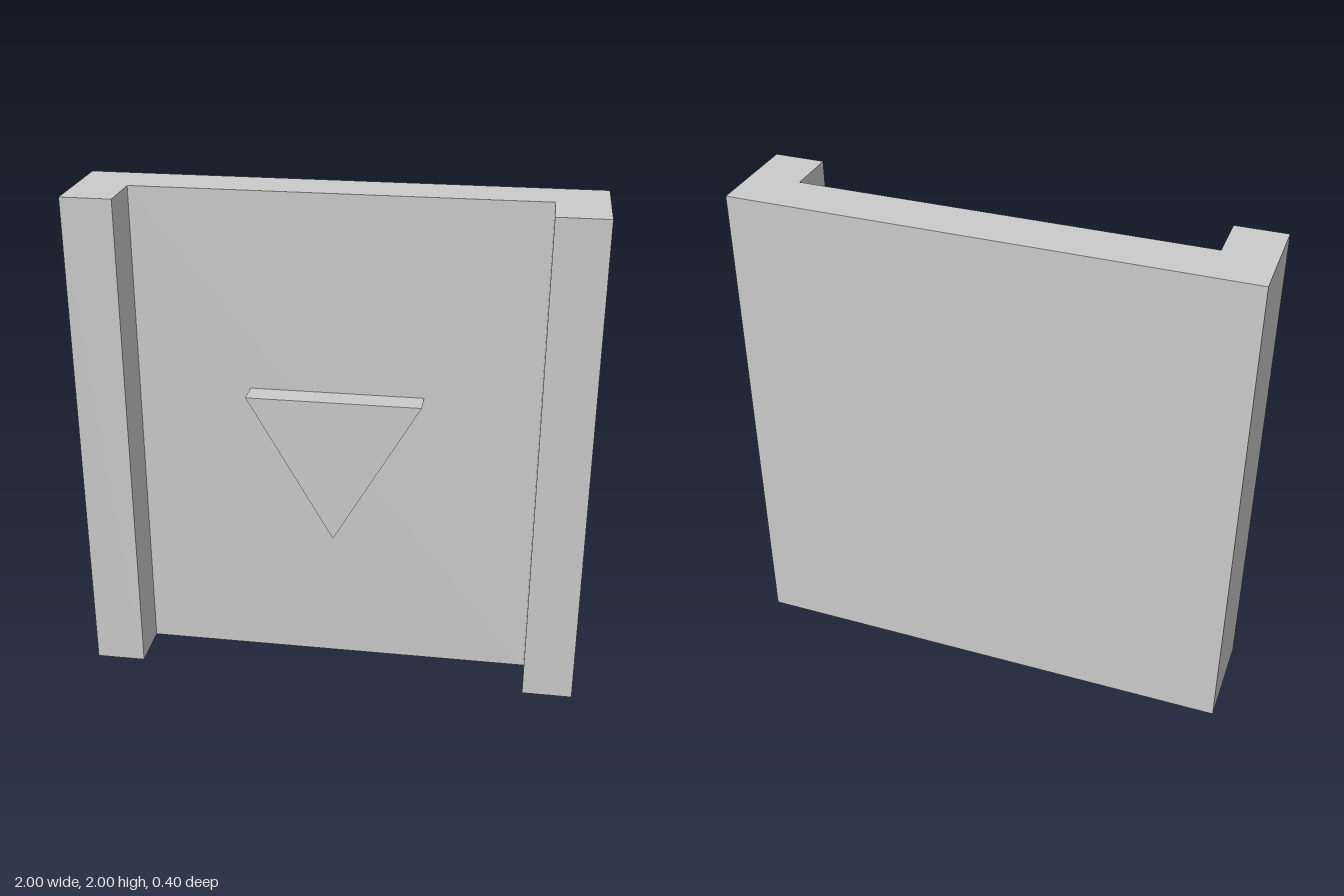
import * as THREE from 'three';

const material = new THREE.MeshStandardMaterial({ color: 0xcccccc, flatShading: true });

// Extrudes a closed outline of [x, y] corners along +z
function prism(name, corners, depth) {
  const shape = new THREE.Shape(corners.map(([x, y]) => new THREE.Vector2(x, y)));
  const geometry = new THREE.ExtrudeGeometry(shape, { depth, bevelEnabled: false });
  const mesh = new THREE.Mesh(geometry, material);
  mesh.name = name;
  return mesh;
}

export function createModel() {
  const group = new THREE.Group();
  group.name = 'channelPanel';

  // Back panel with its two side rails: a U-shaped plan (shape y is -z) raised to full height
  const panel = prism('panelWithSideRails', [
    [-1, 0.2], [-1, -0.2], [-0.8, -0.2], [-0.8, 0],
    [0.8, 0], [0.8, -0.2], [1, -0.2], [1, 0.2],
  ], 2);
  panel.geometry.rotateX(-Math.PI / 2);
  group.add(panel);

  // Raised equilateral triangle pointing down, centred on the panel
  const radius = 0.4;
  const corners = [0, 1, 2].map((i) => {
    const a = -Math.PI / 2 + (i * 2 * Math.PI) / 3;
    return [radius * Math.cos(a), radius * Math.sin(a)];
  });
  const triangle = prism('raisedTriangle', corners, 0.1);
  triangle.position.y = 1;
  group.add(triangle);

  return group;
}
